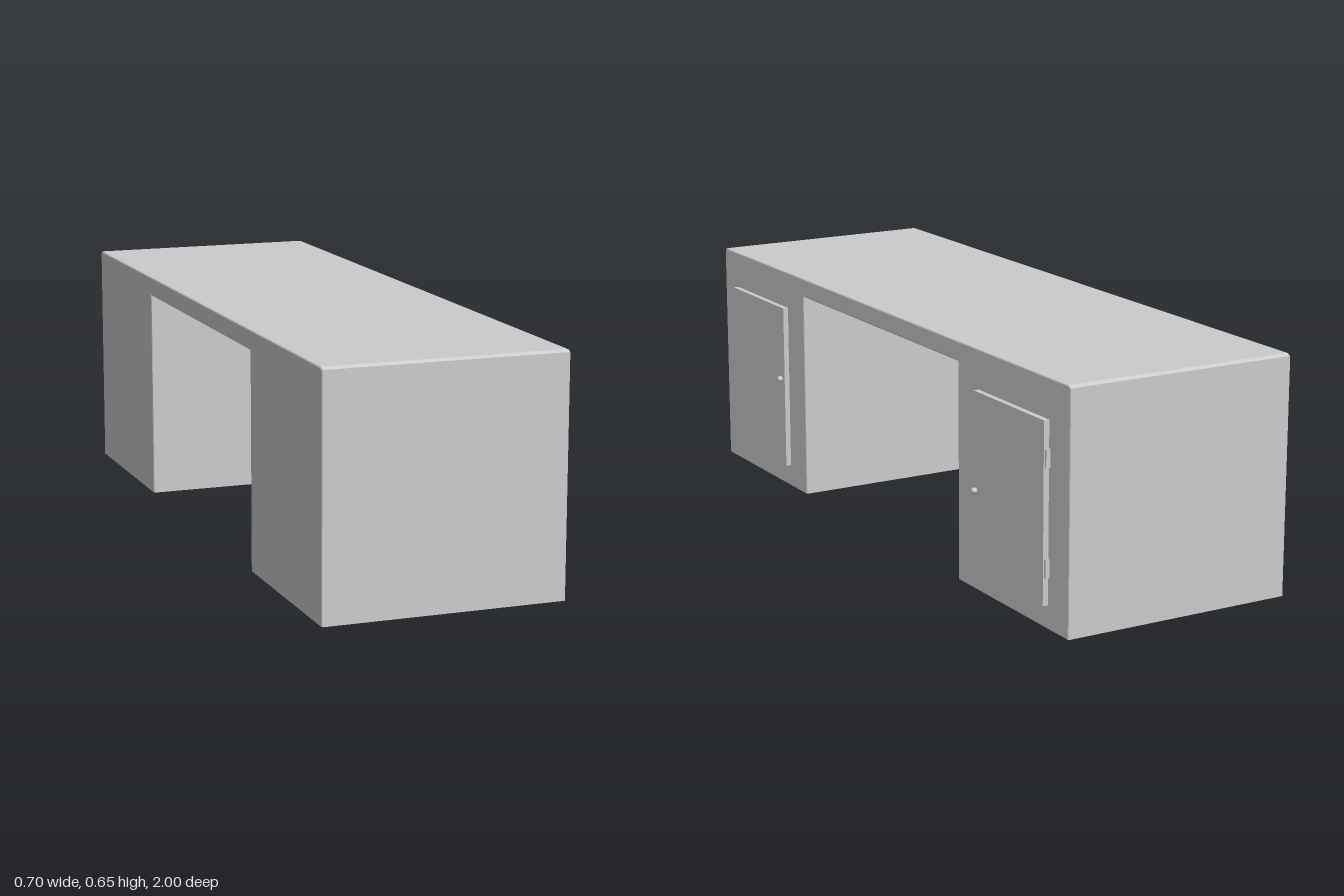
import * as THREE from 'three';

const material = new THREE.MeshStandardMaterial({ color: 0xcccccc });

function add(parent, name, geometry, x, y, z) {
  const mesh = new THREE.Mesh(geometry, material);
  mesh.name = name;
  mesh.position.set(x, y, z);
  parent.add(mesh);
  return mesh;
}

// Bridge-shaped carcass: two pedestals joined by the desktop, with softened edges
function deskBody() {
  const bevel = 0.004, left = -0.348, right = 0.318, low = -0.02;
  const profile = new THREE.Shape([
    [-1, low], [-0.458, low], [-0.458, 0.6], [0.448, 0.6], [0.448, low], [1, low],
    [1, 0.649], [0.988, 0.655], [-0.988, 0.655], [-1, 0.649],
  ].map(([a, b]) => new THREE.Vector2(a, b)));
  const geometry = new THREE.ExtrudeGeometry(profile, {
    depth: right - left - 2 * bevel,
    bevelThickness: bevel, bevelSize: bevel, bevelOffset: -bevel, bevelSegments: 2,
  });
  geometry.rotateY(Math.PI / 2);
  geometry.translate(left + bevel, 0, 0);
  // Flatten the feet onto the floor so their lower edges stay square
  const p = geometry.attributes.position;
  for (let i = 0; i < p.count; i++) p.setY(i, Math.max(0, p.getY(i)));
  geometry.computeVertexNormals();
  return geometry;
}

// Cupboard door with two hinges on its outer edge and a round knob on its inner edge
function addDoor(parent, name, side, knobY) {
  const door = new THREE.Group();
  door.name = name;
  door.position.z = 0.004;
  parent.add(door);
  add(door, 'doorPanel', new THREE.BoxGeometry(0.017, 0.485, 0.346), 0.325, 0.305, side * 0.733);
  for (const y of [0.161, 0.449]) {
    add(door, 'hinge', new THREE.BoxGeometry(0.014, 0.049, 0.014), 0.323, y, side * 0.905);
  }
  const stem = add(door, 'knobStem', new THREE.CylinderGeometry(0.004, 0.004, 0.012, 12), 0.335, knobY, side * 0.576);
  stem.rotation.z = Math.PI / 2;
  add(door, 'knob', new THREE.SphereGeometry(0.0085, 24, 16), 0.341, knobY, side * 0.576);
}

export function createModel() {
  const desk = new THREE.Group();
  desk.name = 'desk';
  add(desk, 'deskBody', deskBody(), 0, 0, 0);
  addDoor(desk, 'frontDoor', 1, 0.33);
  addDoor(desk, 'backDoor', -1, 0.282);
  return desk;
}
